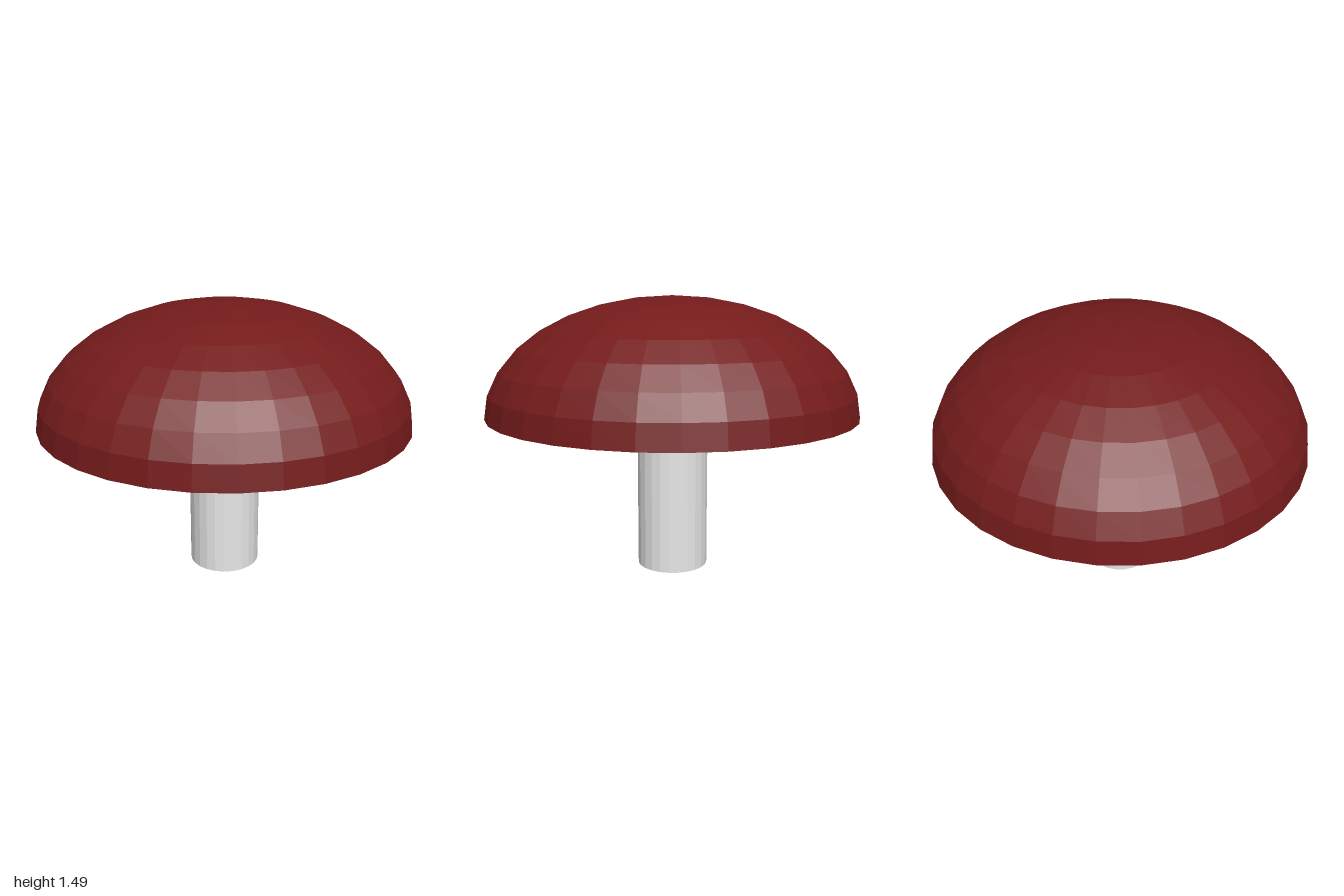
import * as THREE from 'three';

const RIM_Y = 0.855;      // height of the cap's lower edge
const CAP_H = 0.63;       // dome height
const INNER_R = 0.935;    // hollow radius
const INNER_H = 0.28;     // hollow height
const GILLS = 32;

// Points of a quarter ellipse running from the rim up to the axis
function dome(radius, height, steps) {
  return Array.from({ length: steps + 1 }, (_, i) => {
    const a = (i / steps) * Math.PI / 2;
    return new THREE.Vector2(i === steps ? 0 : radius * Math.cos(a), RIM_Y + height * Math.sin(a));
  });
}

export function createModel() {
  const capRed = new THREE.MeshStandardMaterial({ color: 0x741b1b, flatShading: true });
  capRed.name = 'cap red';
  const tan = new THREE.MeshStandardMaterial({ color: 0xc4ae8a, flatShading: true });
  tan.name = 'underside tan';
  const white = new THREE.MeshStandardMaterial({ color: 0xf4f4f4, flatShading: true, side: THREE.DoubleSide });
  white.name = 'stem white';

  const model = new THREE.Group();
  const add = (parent, name, geometry, material) => {
    const mesh = new THREE.Mesh(geometry, material);
    mesh.name = name;
    parent.add(mesh);
    return mesh;
  };

  // Cap: rim band and outer dome in one profile
  const outer = [new THREE.Vector2(INNER_R, RIM_Y), ...dome(1, CAP_H, 8)];
  add(model, 'cap', new THREE.LatheGeometry(outer, 32), capRed);

  // Shallow hollow underside, profile reversed so that it faces inwards
  add(model, 'capUnderside', new THREE.LatheGeometry(dome(INNER_R, INNER_H, 8).reverse(), 32), tan);

  // Stem, reaching the hollow
  const stemTop = 1.125;
  add(model, 'stem', new THREE.CylinderGeometry(0.193, 0.193, stemTop, 24), white).position.y = stemTop / 2;

  // Gills: thin radial blades between the hollow and a sloping lower edge
  const profile = dome(INNER_R - 0.003, INNER_H - 0.003, 8).slice(0, 8);
  profile.push(new THREE.Vector2(0.17, 1.085));
  const blade = new THREE.ShapeGeometry(new THREE.Shape(profile));
  const gills = new THREE.Group();
  gills.name = 'gills';
  for (let i = 0; i < GILLS; i++) {
    add(gills, 'gill', blade, white).rotation.y = ((i + 0.5) / GILLS) * Math.PI * 2;
  }
  model.add(gills);

  return model;
}
